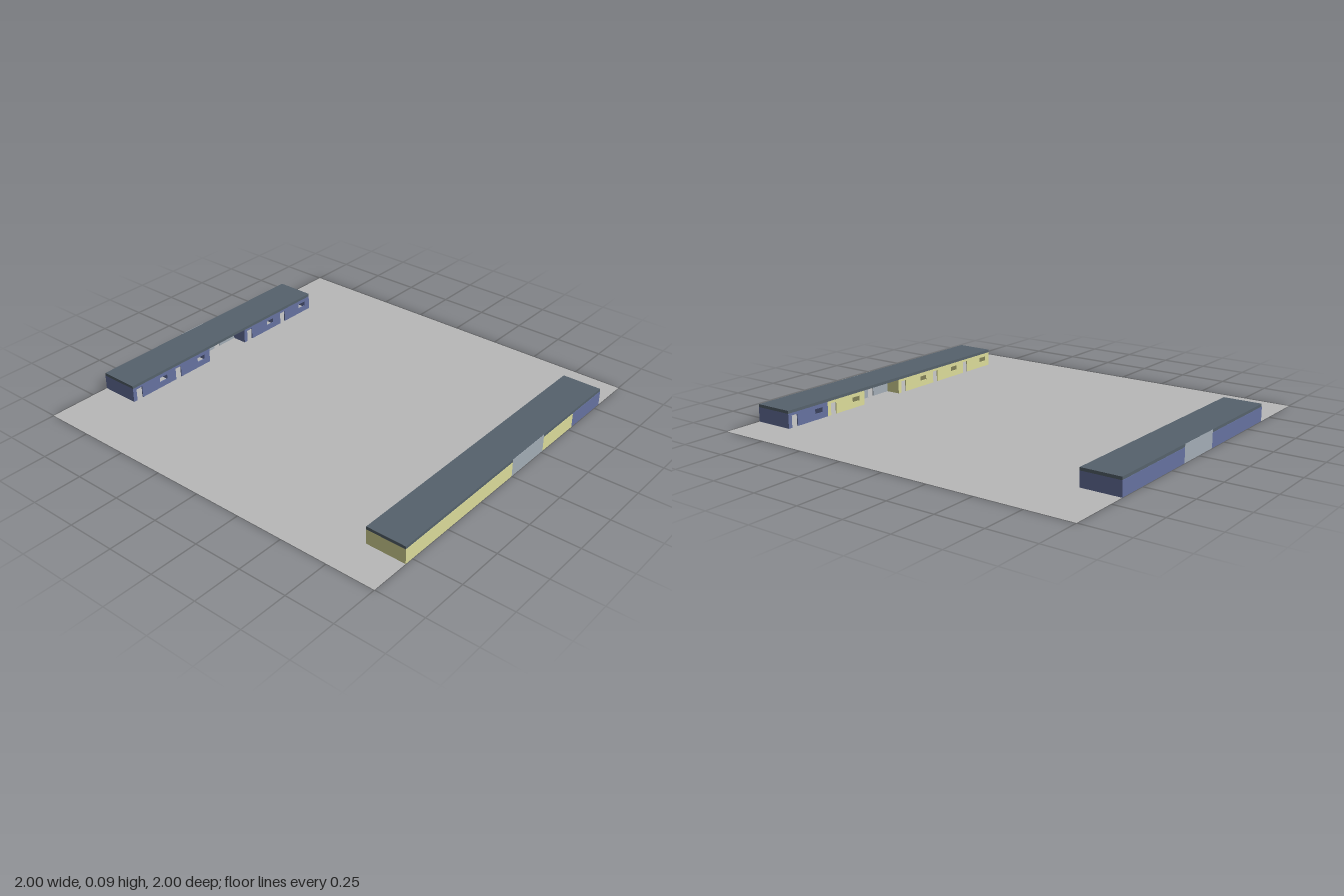
import * as THREE from 'three';

const UNIT = 0.265, DEPTH = 0.207, WALL_H = 0.075, ROOF_H = 0.09, T = 0.006;

const material = (color) => new THREE.MeshStandardMaterial({ color });
const mats = {
  blue: material(0x6672a0),
  yellow: material(0xdcdc9a),
  grey: material(0xa3adb6),
  roof: material(0x56626c),
};

function box(name, mat, w, h, d, x, y, z) {
  const mesh = new THREE.Mesh(new THREE.BoxGeometry(w, h, d), mat);
  mesh.position.set(x, y, z);
  mesh.name = name;
  return mesh;
}

// Wall with a door notch from the floor and an optional window hole
function facade(mat, doorX, doorW, windowX) {
  const doorH = 0.062;
  const shape = new THREE.Shape([
    [0, 0], [doorX, 0], [doorX, doorH], [doorX + doorW, doorH], [doorX + doorW, 0],
    [UNIT, 0], [UNIT, WALL_H], [0, WALL_H],
  ].map(([x, y]) => new THREE.Vector2(x, y)));
  if (windowX) {
    const [l, r, b, t] = [windowX - 0.025, windowX + 0.025, 0.03, 0.056];
    shape.holes.push(new THREE.Path([
      new THREE.Vector2(l, b), new THREE.Vector2(l, t),
      new THREE.Vector2(r, t), new THREE.Vector2(r, b),
    ]));
  }
  const geometry = new THREE.ExtrudeGeometry(shape, { depth: T, bevelEnabled: false });
  const mesh = new THREE.Mesh(geometry, mat);
  mesh.name = 'facade';
  return mesh;
}

// One room: rear wall at z = 0, facade towards +z
function room(kind) {
  const group = new THREE.Group();
  group.name = kind + 'Room';
  const mat = mats[kind];
  const lobby = kind === 'grey';
  const depth = lobby ? DEPTH - 0.08 : DEPTH;
  const rearH = lobby ? ROOF_H - 0.0005 : WALL_H;
  group.add(box('rearWall', mat, UNIT, rearH, T, UNIT / 2, rearH / 2, T / 2));
  for (const x of [T / 2, UNIT - T / 2]) {
    group.add(box('sideWall', mat, T, WALL_H, depth - 2 * T, x, WALL_H / 2, depth / 2));
  }
  const front = lobby ? facade(mat, 0.112, 0.04) : facade(mat, 0.022, 0.038, 0.203);
  front.position.z = depth - T;
  group.add(front);
  return group;
}

// A row of rooms under one flat roof
function building(name, kinds) {
  const group = new THREE.Group();
  group.name = name;
  const width = kinds.length * UNIT;
  kinds.forEach((kind, i) => {
    const r = room(kind);
    r.position.x = i * UNIT - width / 2;
    group.add(r);
  });
  const roofDepth = DEPTH - 0.002;
  group.add(box('roof', mats.roof, width, ROOF_H - WALL_H, roofDepth,
    0, (ROOF_H + WALL_H) / 2, 0.002 + roofDepth / 2));
  return group;
}

export function createModel() {
  const model = new THREE.Group();
  model.name = 'courtyardBuildings';

  // Flat ground sheet
  const groundMat = material(0xb8b8b8);
  groundMat.side = THREE.DoubleSide;
  const ground = new THREE.Mesh(new THREE.PlaneGeometry(2, 2), groundMat);
  ground.rotation.x = -Math.PI / 2;
  ground.name = 'ground';
  model.add(ground);

  // Two rows facing each other across the yard
  const back = building('backBuilding', ['blue', 'blue', 'grey', 'blue', 'blue']);
  back.position.z = -1;
  const front = building('frontBuilding', ['blue', 'yellow', 'grey', 'yellow', 'yellow', 'yellow']);
  front.position.z = 1;
  front.rotation.y = Math.PI;
  model.add(back, front);
  return model;
}
